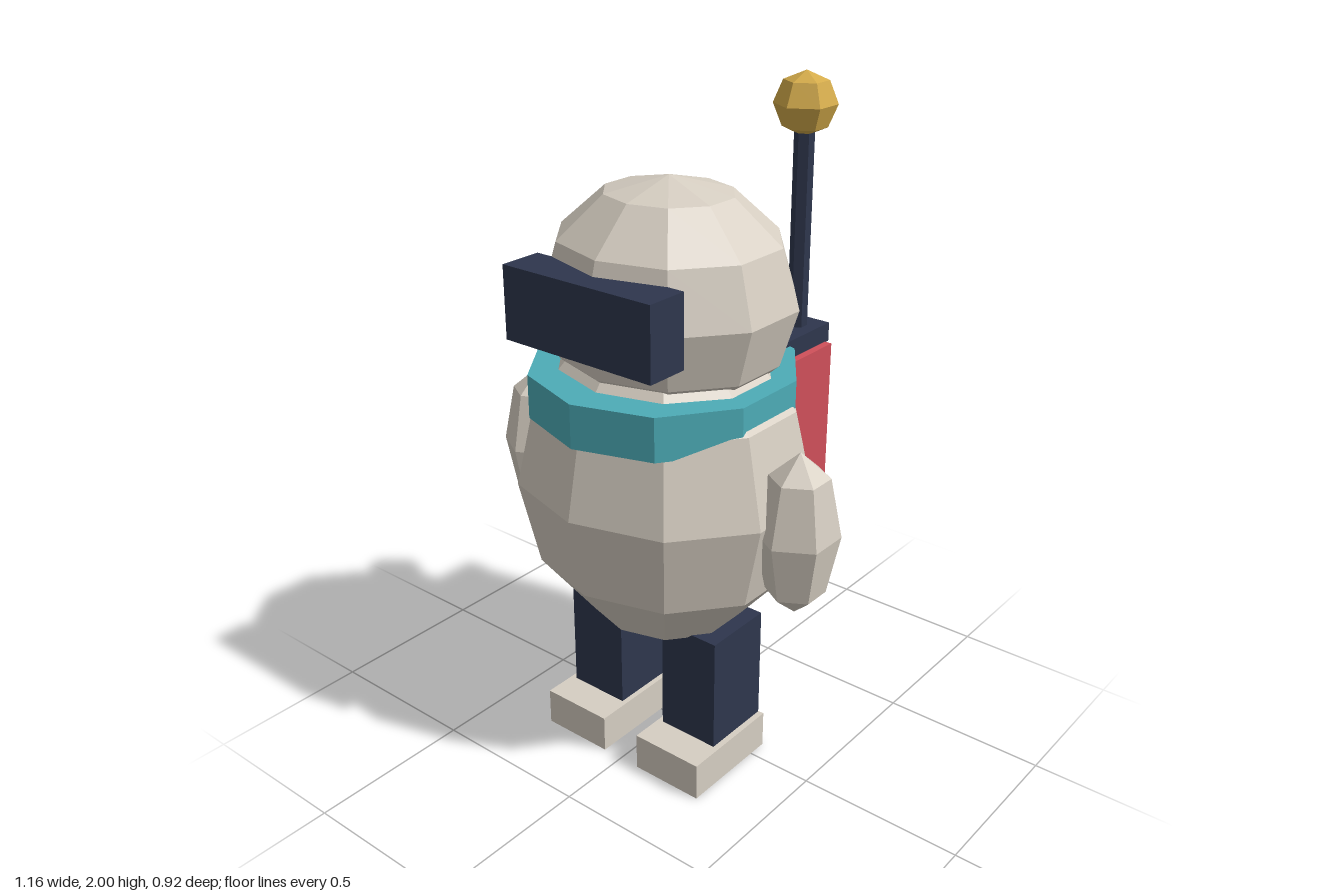
import * as THREE from 'three';

const mat = (name, color) => {
  const m = new THREE.MeshStandardMaterial({ color, flatShading: true });
  m.name = name;
  return m;
};

export function createModel() {
  const robot = new THREE.Group();
  robot.name = 'robot';
  const shell = mat('warm grey', 0xd6cec2);
  const navy = mat('navy', 0x2e364d);
  const teal = mat('teal', 0x4dacb7);
  const red = mat('red', 0xcf505a);
  const gold = mat('gold', 0xd4ab4a);

  const add = (name, geometry, material, x, y, z) => {
    const mesh = new THREE.Mesh(geometry, material);
    mesh.name = name;
    mesh.position.set(x, y, z);
    robot.add(mesh);
    return mesh;
  };
  // Faceted ellipsoid with a vertex column facing front
  const ball = (rx, ry, rz, sides, rings) =>
    new THREE.SphereGeometry(1, sides, rings).rotateY(Math.PI / 2).scale(rx, ry, rz);
  const box = (w, h, d) => new THREE.BoxGeometry(w, h, d);

  // Body, head and face
  add('body', ball(0.457, 0.51, 0.405, 10, 6), shell, 0, 0.9, 0.055);
  add('head', ball(0.378, 0.33, 0.342, 10, 6), shell, 0, 1.435, 0.032);
  add('visor', box(0.505, 0.21, 0.13), navy, 0, 1.455, 0.345);
  add('collar', new THREE.CylinderGeometry(0.384, 0.384, 0.128, 10).scale(1, 1, 1.003),
    teal, 0, 1.176, 0.055);

  // Arms, legs and feet
  for (const [side, s] of [['left', 1], ['right', -1]]) {
    add(side + 'Arm', ball(0.118, 0.245, 0.12, 6, 4), shell, s * 0.4775, 0.865, 0.07);
    add(side + 'Leg', box(0.195, 0.36, 0.225), navy, s * 0.179, 0.292, 0.054);
    add(side + 'Foot', box(0.23, 0.116, 0.33), shell, s * 0.18, 0.058, 0.105);
  }

  // Backpack with lid and antenna
  add('backpack', box(0.457, 0.51, 0.225), red, 0, 0.945, -0.333);
  add('backpackLid', box(0.41, 0.058, 0.265), navy, 0, 1.226, -0.332);
  add('antennaRod', new THREE.CylinderGeometry(0.029, 0.029, 0.59, 6), navy, 0.163, 1.565, -0.357);
  add('antennaTip', ball(0.09, 0.09, 0.09, 6, 4), gold, 0.163, 1.911, -0.357);

  return robot;
}
